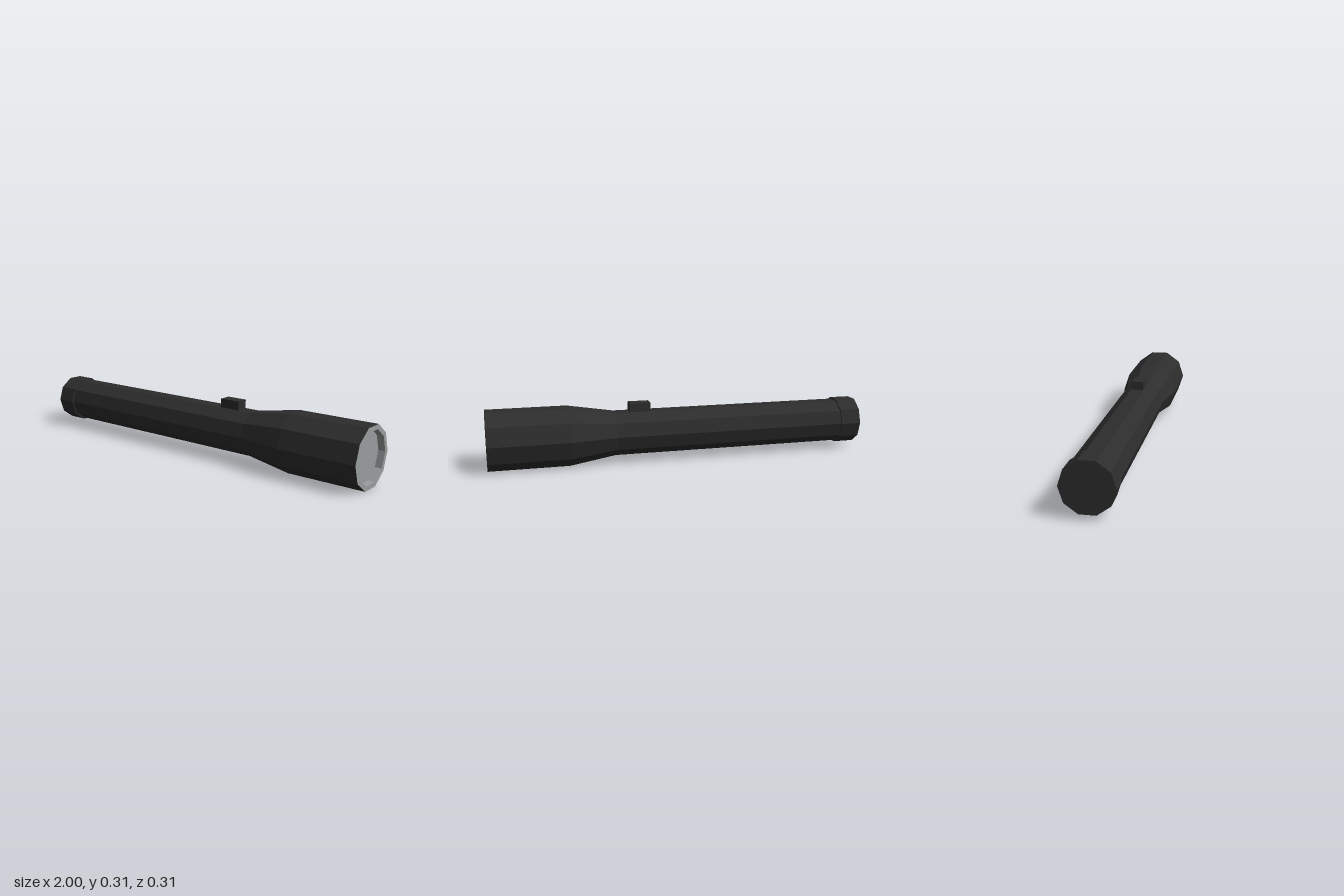
import * as THREE from 'three';

const AXIS_Y = 0.148;
const SIDES = 10;

export function createModel() {
  const black = new THREE.MeshStandardMaterial({ color: 0x2d2d2d });
  black.name = 'black casing';
  const grey = new THREE.MeshStandardMaterial({ color: 0x999d9d });
  grey.name = 'grey reflector';

  const group = new THREE.Group();
  group.name = 'flashlight';

  // Ten-sided faceted solid turned around the x axis; profile is [x, radius] from back to front
  function turned(name, profile, material) {
    const points = profile.map(([x, r]) => new THREE.Vector2(r, x));
    const geometry = new THREE.LatheGeometry(points, SIDES).toNonIndexed();
    geometry.rotateZ(-Math.PI / 2);
    geometry.computeVertexNormals();
    const mesh = new THREE.Mesh(geometry, material);
    mesh.name = name;
    mesh.position.y = AXIS_Y;
    group.add(mesh);
  }

  // Tail cap, slightly wider than the handle
  turned('tailCap', [[-1, 0], [-1, 0.125], [-0.89, 0.125], [-0.89, 0.112]], black);

  // Handle flaring into the head
  turned('body', [[-0.89, 0.117], [0.35, 0.117], [0.59, 0.156], [1, 0.156]], black);

  // Front rim, recessed inner wall and lens
  turned('rim', [[1, 0.156], [1, 0.132]], grey);
  turned('reflectorWall', [[1, 0.132], [0.965, 0.132]], grey);
  turned('lens', [[0.965, 0.132], [0.965, 0]], grey);

  // Switch on top of the handle
  const button = new THREE.Mesh(new THREE.BoxGeometry(0.11, 0.055, 0.062), black);
  button.name = 'switch';
  button.position.set(0.217, 0.2775, 0);
  group.add(button);

  return group;
}
